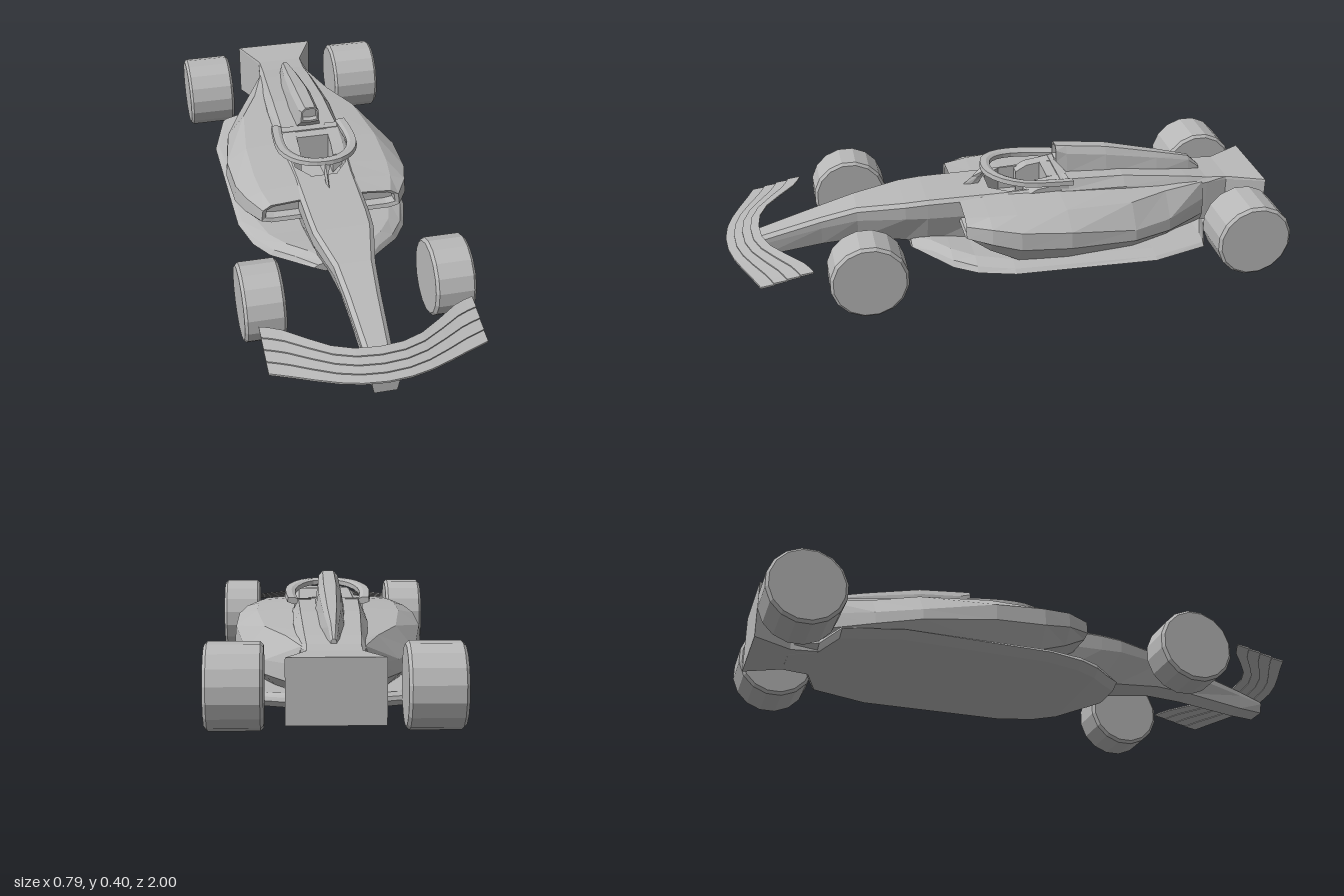
import * as THREE from 'three';

const paint = new THREE.MeshStandardMaterial({ color: 0xb8b8b8, flatShading: true });
paint.name = 'plain grey';

// Skin a list of closed rings of [x, y, z] and cap both ends, facing outwards
function loft(rings) {
  const n = rings[0].length, pos = [], P = (r, i) => rings[r][i % n];
  const tri = (a, b, c) => pos.push([a, b, c]);
  for (let r = 0; r < rings.length - 1; r++)
    for (let i = 0; i < n; i++) {
      tri(P(r, i), P(r, i + 1), P(r + 1, i + 1));
      tri(P(r, i), P(r + 1, i + 1), P(r + 1, i));
    }
  const e = rings.length - 1;
  for (let i = 1; i < n - 1; i++) {
    tri(P(0, 0), P(0, i + 1), P(0, i));
    tri(P(e, 0), P(e, i), P(e, i + 1));
  }
  const V = (p) => new THREE.Vector3(...p);
  const volume = pos.reduce((s, [a, b, c]) => s + V(a).dot(V(b).cross(V(c))), 0);
  if (volume < 0) pos.forEach((t) => t.reverse());
  const g = new THREE.BufferGeometry();
  g.setAttribute('position', new THREE.Float32BufferAttribute(pos.flat(2), 3));
  g.computeVertexNormals();
  return g;
}

// Mirror a half section that runs from bottom centre to top centre
const symmetric = (z, half) => [
  ...half.map(([x, y]) => [x, y, z]),
  ...half.filter(([x]) => x > 0).reverse().map(([x, y]) => [-x, y, z]),
];

export function createModel() {
  const car = new THREE.Group();
  car.name = 'racingCar';
  const add = (name, geometry) => {
    const m = new THREE.Mesh(geometry, paint);
    m.name = name;
    car.add(m);
    return m;
  };

  // Floor: z, half width, bottom, top
  add('floor', loft([
    [0.34, 0.1, 0.068, 0.11], [0.27, 0.17, 0.055, 0.115], [0.21, 0.235, 0.046, 0.11],
    [0.13, 0.285, 0.043, 0.1], [0, 0.32, 0.042, 0.09], [-0.52, 0.33, 0.042, 0.08],
    [-0.72, 0.27, 0.042, 0.085], [-0.77, 0.13, 0.042, 0.09], [-0.86, 0.085, 0.042, 0.09],
  ].map(([z, w, b, t]) => symmetric(z, [
    [0, b], [w - 0.04, b], [w, b + 0.02], [w - 0.015, (b + t) / 2 + 0.01], [w - 0.06, t], [0, t],
  ]))));

  // Nose and tub: z, bottom half width, bottom, half width, top, opening half width, opening floor
  add('noseAndTub', loft([
    [0.97, 0.038, 0.073, 0.045, 0.125, 0.02, 0.125], [0.88, 0.04, 0.08, 0.046, 0.158, 0.02, 0.158],
    [0.66, 0.045, 0.11, 0.06, 0.218, 0.03, 0.218], [0.53, 0.048, 0.118, 0.072, 0.25, 0.04, 0.25],
    [0.36, 0.06, 0.1, 0.108, 0.268, 0.06, 0.268], [0.28, 0.07, 0.08, 0.112, 0.273, 0.06, 0.273],
    [0.045, 0.09, 0.06, 0.115, 0.275, 0.05, 0.275], [0.04, 0.09, 0.06, 0.115, 0.275, 0.05, 0.19],
    [-0.02, 0.09, 0.06, 0.118, 0.277, 0.095, 0.19], [-0.2, 0.09, 0.06, 0.12, 0.285, 0.095, 0.19],
    [-0.205, 0.09, 0.06, 0.12, 0.285, 0.09, 0.285], [-0.23, 0.09, 0.06, 0.12, 0.285, 0.09, 0.285],
  ].map(([z, wb, b, w, t, wi, f]) => symmetric(z, [
    [0, b], [wb, b], [w, b + (t - b) * 0.65], [w, t - 0.012], [Math.max(wi, w - 0.015), t],
    [wi, t], [wi, f], [0, f],
  ]))));

  // Sidepods: z, bottom x, bottom y, outer x, lower y, upper y, top x, top y
  const pod = [
    [0.13, 0.205, 0.2, 0.235, 0.205, 0.23, 0.205, 0.24],
    [0.16, 0.21, 0.195, 0.24, 0.2, 0.232, 0.21, 0.245],
    [0.165, 0.22, 0.18, 0.255, 0.19, 0.235, 0.22, 0.255],
    [0.08, 0.25, 0.13, 0.3, 0.18, 0.237, 0.24, 0.26],
    [-0.02, 0.27, 0.09, 0.325, 0.16, 0.225, 0.25, 0.263],
    [-0.2, 0.27, 0.08, 0.33, 0.15, 0.21, 0.25, 0.263],
    [-0.45, 0.23, 0.07, 0.29, 0.13, 0.17, 0.22, 0.25],
    [-0.6, 0.17, 0.07, 0.225, 0.12, 0.165, 0.15, 0.245],
    [-0.76, 0.1, 0.07, 0.125, 0.12, 0.18, 0.1, 0.24],
  ];
  for (const s of [1, -1])
    add(s > 0 ? 'leftSidepod' : 'rightSidepod', loft(pod.map(([z, xb, yb, w, ym, yu, xt, yt]) => {
      const xi = z < -0.5 ? 0.05 : 0.1;
      return [[xi, yb], [xb, yb], [w, ym], [w - 0.005, yu], [xt, yt], [xi, yt + 0.01]]
        .map(([x, y]) => [s * x, y, z]);
    })));

  // Engine cover flaring into the rear wing block: z, half width, shoulder, top half width, top
  add('engineCoverAndRearWing', loft([
    [-0.21, 0.125, 0.27, 0.105, 0.31], [-0.45, 0.125, 0.265, 0.1, 0.3],
    [-0.7, 0.11, 0.235, 0.09, 0.265], [-0.78, 0.1, 0.235, 0.085, 0.25],
    [-0.86, 0.088, 0.235, 0.086, 0.245], [-0.99, 0.152, 0.245, 0.15, 0.25],
  ].map(([z, w, s, wt, t]) => symmetric(z, [[0, 0.043], [w, 0.043], [w, s], [wt, t], [0, t]]))));

  // Air intake with a recessed mouth, running back as a spine
  add('airIntake', loft([
    [-0.23, 0.026, 0.352, 0.022, 0.398], [-0.21, 0.028, 0.35, 0.024, 0.4],
    [-0.21, 0.035, 0.343, 0.03, 0.407], [-0.25, 0.045, 0.3, 0.033, 0.402],
    [-0.4, 0.052, 0.28, 0.035, 0.385], [-0.6, 0.042, 0.265, 0.025, 0.34],
    [-0.73, 0.022, 0.25, 0.013, 0.308], [-0.775, 0.01, 0.24, 0.006, 0.265],
  ].map(([z, w, b, wt, t]) => symmetric(z, [
    [0, b], [w, b + 0.004], [wt + 0.003, t - (t - b) * 0.25], [wt * 0.6, t], [0, t],
  ]))));

  // Headrest with an arm along each cockpit side
  add('headrest', new THREE.BoxGeometry(0.12, 0.11, 0.06)).position.set(0, 0.25, -0.2);
  for (const s of [1, -1])
    add('headrestArm', loft([[-0.08, 0.272], [-0.12, 0.295], [-0.24, 0.312]].map(([z, t]) =>
      [[0.06, 0.19], [0.12, 0.25], [0.12, t - 0.01], [0.105, t], [0.06, t]]
        .map(([x, y]) => [s * x, y, z]))));

  // Halo: flattened bar swept along a horseshoe
  const side = [[0.125, 0.308, -0.25], [0.133, 0.315, -0.16], [0.13, 0.322, -0.07],
    [0.1, 0.331, 0], [0.055, 0.336, 0.038]];
  const path = new THREE.CatmullRomCurve3([
    ...side, [0, 0.336, 0.048], ...side.map(([x, y, z]) => [-x, y, z]).reverse(),
  ].map((p) => new THREE.Vector3(...p)));
  const haloRings = [];
  for (let i = 0; i <= 20; i++) {
    const p = path.getPoint(i / 20), t = path.getTangent(i / 20).setY(0).normalize();
    haloRings.push([[-0.019, -0.006], [0.005, -0.015], [0.019, -0.012], [0.019, 0.004], [0.006, 0.01], [-0.016, 0.01]]
      .map(([a, b]) => [p.x - t.z * a, p.y + b, p.z + t.x * a]));
  }
  add('halo', loft(haloRings));
  add('haloPillar', loft([[0.265, 0.14, 0.08, 0.005], [0.3, 0.1, 0.06, 0.007], [0.342, 0.06, 0.03, 0.028]]
    .map(([y, zf, zb, w]) => [[0, y, zf], [w, y, (zf + zb) / 2], [w * 0.6, y, zb],
      [-w * 0.6, y, zb], [-w, y, (zf + zb) / 2]])));

  // Front wing: four stepped blades between a bowed leading and trailing edge
  const span = [[0, 1, 0.88], [0.08, 0.993, 0.872], [0.15, 0.975, 0.845], [0.22, 0.948, 0.795],
    [0.29, 0.918, 0.74], [0.33, 0.902, 0.72], [0.36, 0.89, 0.71]];
  const stations = [...span.slice(1).reverse().map(([x, f, b]) => [-x, f, b]), ...span];
  for (let k = 0; k < 4; k++)
    add('frontWingBlade', loft(stations.map(([x, f, b]) => {
      const at = (v) => f + (b - f) * v, y = 0.14 + k * 0.0105;
      const v0 = k * 0.25, v1 = v0 + 0.255;
      return [[x, y, at(v0)], [x, y + 0.007, at(v0)], [x, y + 0.013, at(v1)], [x, y + 0.008, at(v1)]];
    })));

  // Wheels: solid drums with chamfered rims; outer and inner x, and z
  for (const [name, x0, x1, z] of [['frontWheel', 0.255, 0.397, 0.525], ['rearWheel', 0.216, 0.397, -0.863]])
    for (const s of [1, -1]) {
      const h = (x1 - x0) / 2, r = 0.137;
      const g = new THREE.LatheGeometry([[0, -h], [r - 0.01, -h], [r, -h + 0.01], [r, h - 0.01],
        [r - 0.01, h], [0, h]].map(([a, b]) => new THREE.Vector2(a, b)), 16);
      g.rotateY(Math.PI / 16).rotateZ(Math.PI / 2);
      add(name, g).position.set(s * (x0 + x1) / 2, r, z);
    }
  return car;
}
